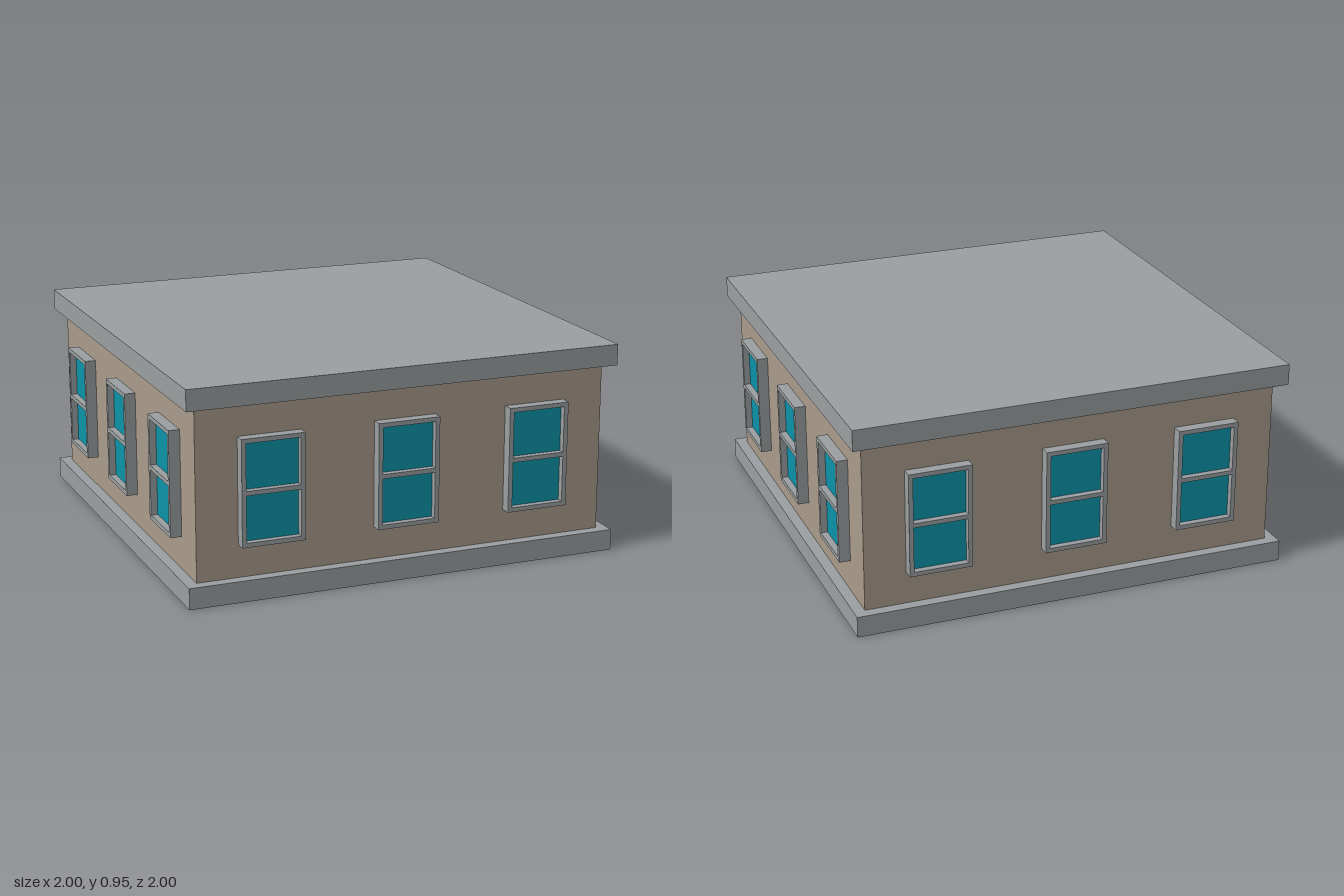
import * as THREE from 'three';

const stone = new THREE.MeshStandardMaterial({ color: 0x9b9fa1 });
const plaster = new THREE.MeshStandardMaterial({ color: 0xa99c8b });
const glass = new THREE.MeshStandardMaterial({ color: 0x0c93a9 });

const HEIGHT = 0.953, SLAB = 0.095, WALL = 0.95;
const WIN_W = 0.285, WIN_H = 0.475, WIN_Y = 0.478, BORDER = 0.02, BAR = 0.02;

function box(name, w, h, d, material, x, y, z) {
  const mesh = new THREE.Mesh(new THREE.BoxGeometry(w, h, d), material);
  mesh.name = name;
  mesh.position.set(x, y, z);
  return mesh;
}

function rectangle(PathType, x0, y0, x1, y1) {
  return new PathType([[x0, y0], [x1, y0], [x1, y1], [x0, y1]].map(p => new THREE.Vector2(...p)));
}

// Frame outline with an upper and a lower pane opening
function frameGeometry() {
  const w = WIN_W / 2, h = WIN_H / 2, b = BORDER, m = BAR / 2;
  const shape = rectangle(THREE.Shape, -w, -h, w, h);
  shape.holes.push(
    rectangle(THREE.Path, -w + b, m, w - b, h - b),
    rectangle(THREE.Path, -w + b, -h + b, w - b, -m));
  return new THREE.ExtrudeGeometry(shape, { depth: 1 - WALL, bevelEnabled: false });
}

export function createModel() {
  const model = new THREE.Group();
  model.name = 'buildingFloor';

  // Slabs and walls
  model.add(box('baseSlab', 2, SLAB, 2, stone, 0, SLAB / 2, 0));
  model.add(box('walls', 2 * WALL, HEIGHT - 2 * SLAB, 2 * WALL, plaster, 0, HEIGHT / 2, 0));
  model.add(box('roofSlab', 2, SLAB, 2, stone, 0, HEIGHT - SLAB / 2, 0));

  // Three windows on each of the four sides
  const frame = frameGeometry();
  const paneH = (WIN_H - 2 * BORDER - BAR) / 2;
  for (let side = 0; side < 4; side++) {
    const facade = new THREE.Group();
    facade.name = ['frontWindows', 'leftWindows', 'backWindows', 'rightWindows'][side];
    facade.rotation.y = side * Math.PI / 2;
    for (const x of [-0.62, 0, 0.62]) {
      const win = new THREE.Group();
      win.name = 'window';
      win.position.set(x, WIN_Y, WALL);
      const frameMesh = new THREE.Mesh(frame, stone);
      frameMesh.name = 'windowFrame';
      win.add(frameMesh);
      for (const s of [-1, 1]) {
        win.add(box('windowPane', WIN_W - 2 * BORDER, paneH, 0.02, glass,
          0, s * (BAR + paneH) / 2, 0.01));
      }
      facade.add(win);
    }
    model.add(facade);
  }
  return model;
}
